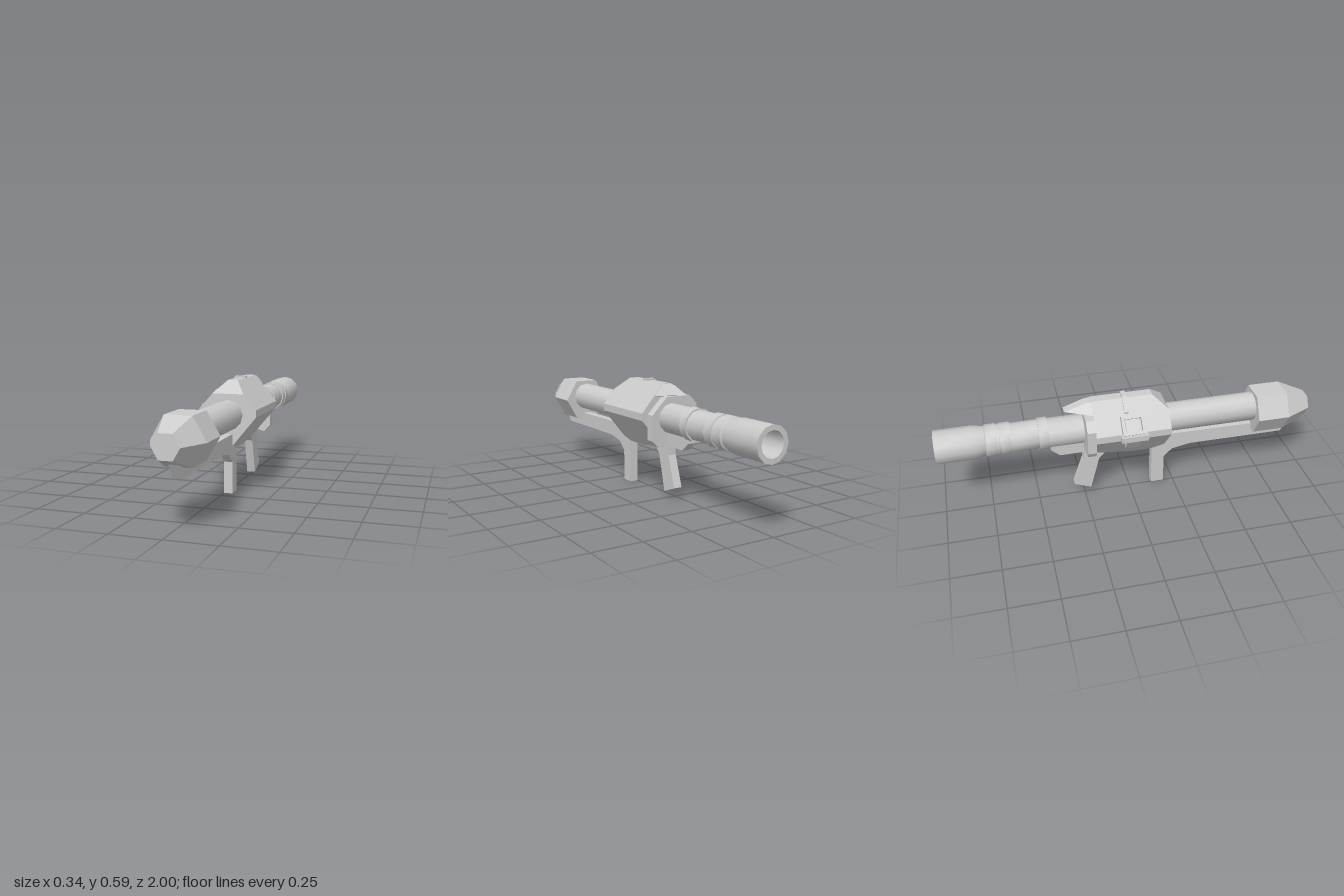
import * as THREE from 'three';
import { toCreasedNormals } from 'three/addons/utils/BufferGeometryUtils.js';
import { ConvexGeometry } from 'three/addons/geometries/ConvexGeometry.js';

export function createModel() {
  const model = new THREE.Group();
  const steel = new THREE.MeshStandardMaterial({ color: 0xcccccc });
  steel.name = 'light grey';

  function add(name, geometry) {
    const mesh = new THREE.Mesh(geometry, steel);
    mesh.name = name;
    model.add(mesh);
    return mesh;
  }
  const outline = (pts) => new THREE.Shape(pts.map(([a, b]) => new THREE.Vector2(a, b)));

  // Side profile given as [z, y], spanning x0..x1
  function sidePlate(name, pts, x0 = -0.002, x1 = 0.043) {
    const g = new THREE.ExtrudeGeometry(outline(pts), { depth: x1 - x0, bevelEnabled: false });
    g.rotateY(-Math.PI / 2);
    g.translate(x1, 0, 0);
    return add(name, g);
  }
  // Front profile given as [x, y], spanning z0..z1
  function frontPlate(name, pts, z0, z1) {
    const g = new THREE.ExtrudeGeometry(outline(pts), { depth: z1 - z0, bevelEnabled: false });
    g.translate(0, 0, z0);
    return add(name, g);
  }
  const hull = (name, pts) => add(name, new ConvexGeometry(pts.map((p) => new THREE.Vector3(...p))));

  // Long tube with rings, flared rear and open bore: [radius, z]
  const tubeProfile = [
    [0, 0.7], [0.077, 0.7], [0.077, -0.43], [0.084, -0.43], [0.084, -0.48], [0.076, -0.48],
    [0.076, -0.62], [0.083, -0.62], [0.083, -0.675], [0.079, -0.675], [0.079, -0.69],
    [0.084, -0.69], [0.084, -0.745], [0.076, -0.75], [0.087, -0.81], [0.087, -1],
    [0.062, -1], [0.062, -0.6], [0, -0.6],
  ];
  const tube = new THREE.LatheGeometry(tubeProfile.map(([r, z]) => new THREE.Vector2(r, -z)), 12);
  tube.rotateX(-Math.PI / 2);
  tube.translate(0.02, 0.408, 0);
  add('launchTube', toCreasedNormals(tube, 0.65));

  // Six-sided warhead
  const hex = (r, z) => Array.from({ length: 6 }, (_, i) =>
    [0.021 + r * Math.cos(i * Math.PI / 3), 0.389 + r * Math.sin(i * Math.PI / 3), z]);
  hull('warhead', [...hex(0.129, 0.69), ...hex(0.129, 0.86), ...hex(0.065, 1)]);

  // Faceted receiver body
  const flank = (z) => [[0.167, 0.437, z], [0.167, 0.4, z], [-0.133, 0.4, z], [-0.133, 0.437, z]];
  const pair = (x0, x1, y, z) => [[x0, y, z], [x1, y, z]];
  hull('receiver', [
    ...flank(0.195), ...flank(-0.2),
    ...pair(-0.063, 0.1, 0.515, 0.195), ...pair(-0.005, 0.047, 0.578, 0.12),
    ...pair(-0.005, 0.047, 0.578, -0.2),
    ...pair(-0.003, 0.044, 0.25, 0.195), ...pair(-0.003, 0.044, 0.232, 0.12),
    ...pair(-0.003, 0.044, 0.232, 0), ...pair(-0.003, 0.044, 0.255, -0.2),
  ]);
  // Pointed cover over the rear
  hull('rearCover', [
    ...pair(-0.005, 0.047, 0.578, -0.19), ...pair(-0.055, 0.095, 0.52, -0.19),
    ...pair(-0.005, 0.047, 0.57, -0.235), ...pair(-0.002, 0.044, 0.535, -0.34),
    ...pair(-0.04, 0.08, 0.518, -0.21),
  ]);

  // Collar plate behind the receiver
  frontPlate('rearCollar', [
    [-0.088, 0.517], [-0.133, 0.472], [-0.133, 0.345], [-0.115, 0.315], [-0.05, 0.305],
    [0.045, 0.28], [0.1, 0.265], [0.135, 0.3], [0.135, 0.43], [0.05, 0.517],
  ], -0.245, -0.2);

  // Front rail with its handle
  sidePlate('frontRailAndHandle', [
    [0.92, 0.305], [0.87, 0.23], [0.34, 0.23], [0.24, 0.21], [0.195, 0.165],
    [0.195, 0], [0.125, 0], [0.125, 0.3], [0.2, 0.31],
  ]);
  // Rear frame and slanted grip
  sidePlate('rearFrame', [
    [-0.15, 0.35], [-0.15, 0.268], [-0.375, 0.268], [-0.42, 0.308], [-0.42, 0.35],
  ]);
  sidePlate('rearGrip', [
    [-0.12, 0.26], [-0.165, 0.215], [-0.215, 0.025], [-0.305, 0.06], [-0.25, 0.22], [-0.25, 0.28],
  ]);

  // Thin strap over the top and upper flank
  frontPlate('topStrap', [
    [0.047, 0.588], [-0.007, 0.588], [-0.065, 0.525], [-0.058, 0.512], [0, 0.57], [0.047, 0.57],
  ], -0.04, -0.015);

  // Wrapped side bracket
  frontPlate('sideBracket', [
    [-0.075, 0.5], [-0.085, 0.51], [-0.153, 0.438], [-0.153, 0.402], [-0.108, 0.335],
    [-0.09, 0.345], [-0.13, 0.4], [-0.13, 0.437],
  ], -0.045, 0.03);

  // Raised rectangular frame on the upper flank
  const sight = new THREE.Group();
  sight.name = 'sideFrame';
  sight.position.set(-0.115, 0.475, -0.005);
  sight.rotation.z = 0.835;
  const bar = (w, h, d, x, z) => {
    const mesh = new THREE.Mesh(new THREE.BoxGeometry(w, h, d), steel);
    mesh.name = 'frameBar';
    mesh.position.set(x, 0, z);
    sight.add(mesh);
  };
  for (const s of [-1, 1]) {
    bar(0.1, 0.028, 0.016, 0, s * 0.052);
    bar(0.016, 0.028, 0.11, s * 0.042, 0);
  }
  model.add(sight);

  // Outer stub on the bracket
  const stub = add('bracketStub', new THREE.BoxGeometry(0.03, 0.03, 0.14));
  stub.position.set(-0.155, 0.425, -0.005);

  return model;
}
